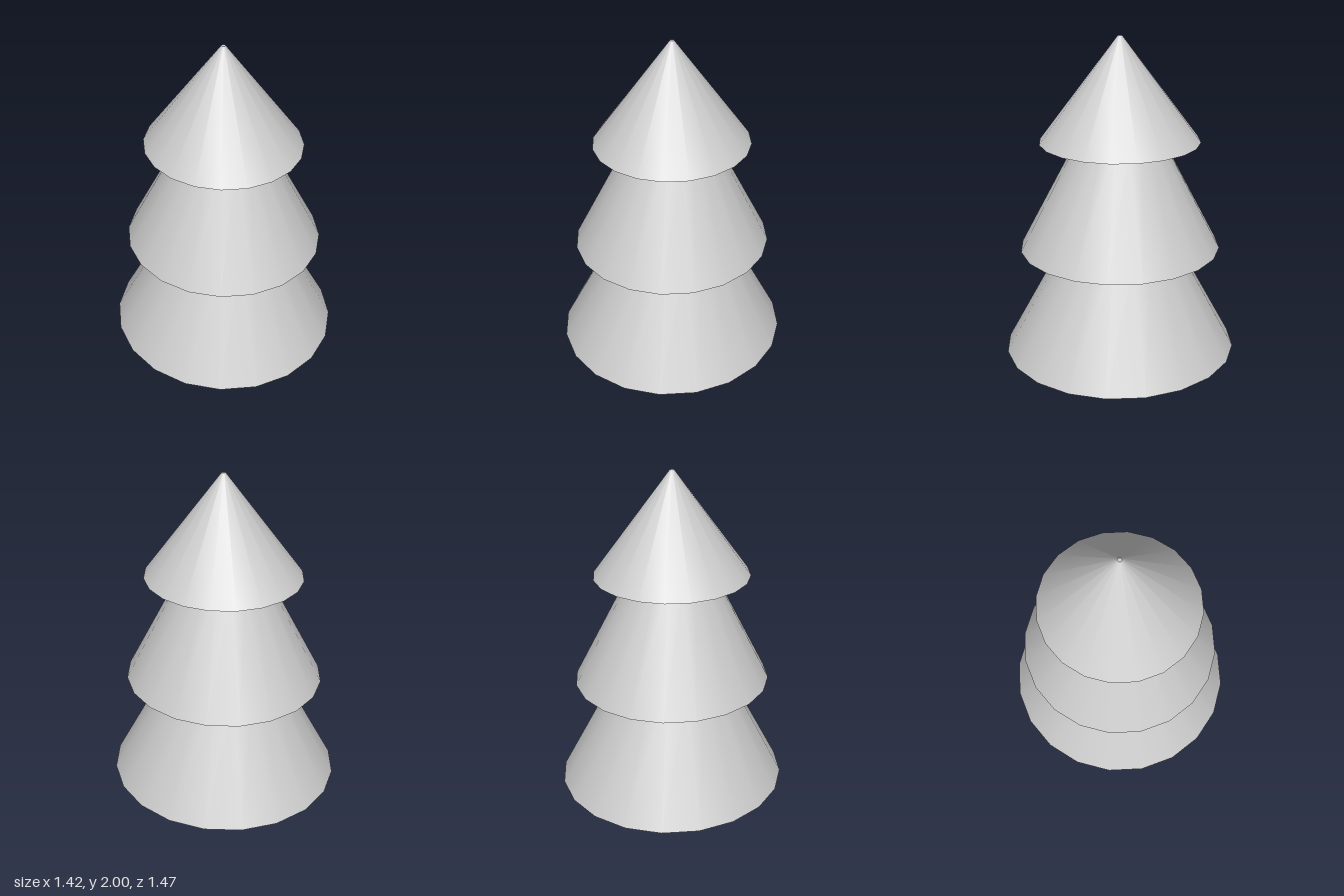
import * as THREE from 'three';

// Stacked foliage cones: [name, bottom y, top y, bottom radius, top radius]
const TIERS = [
  ['lowerFoliage', 0, 0.683, 0.709, 0.352],
  ['middleFoliage', 0.683, 1.363, 0.603, 0.257],
  ['topFoliage', 1.363, 2, 0.475, 0.012],
];
const SIDES = 20;
const DEPTH = 1.035; // the tree is slightly deeper than wide

export function createModel() {
  const tree = new THREE.Group();
  tree.name = 'firTree';
  const material = new THREE.MeshStandardMaterial({ color: 0xcccccc });

  for (const [name, y0, y1, bottom, top] of TIERS) {
    // closed, smooth-sided frustum standing on the tier below
    const geometry = new THREE.CylinderGeometry(top, bottom, y1 - y0, SIDES);
    geometry.scale(1, 1, DEPTH);
    const tier = new THREE.Mesh(geometry, material);
    tier.name = name;
    tier.position.y = (y0 + y1) / 2;
    tree.add(tier);
  }
  return tree;
}
